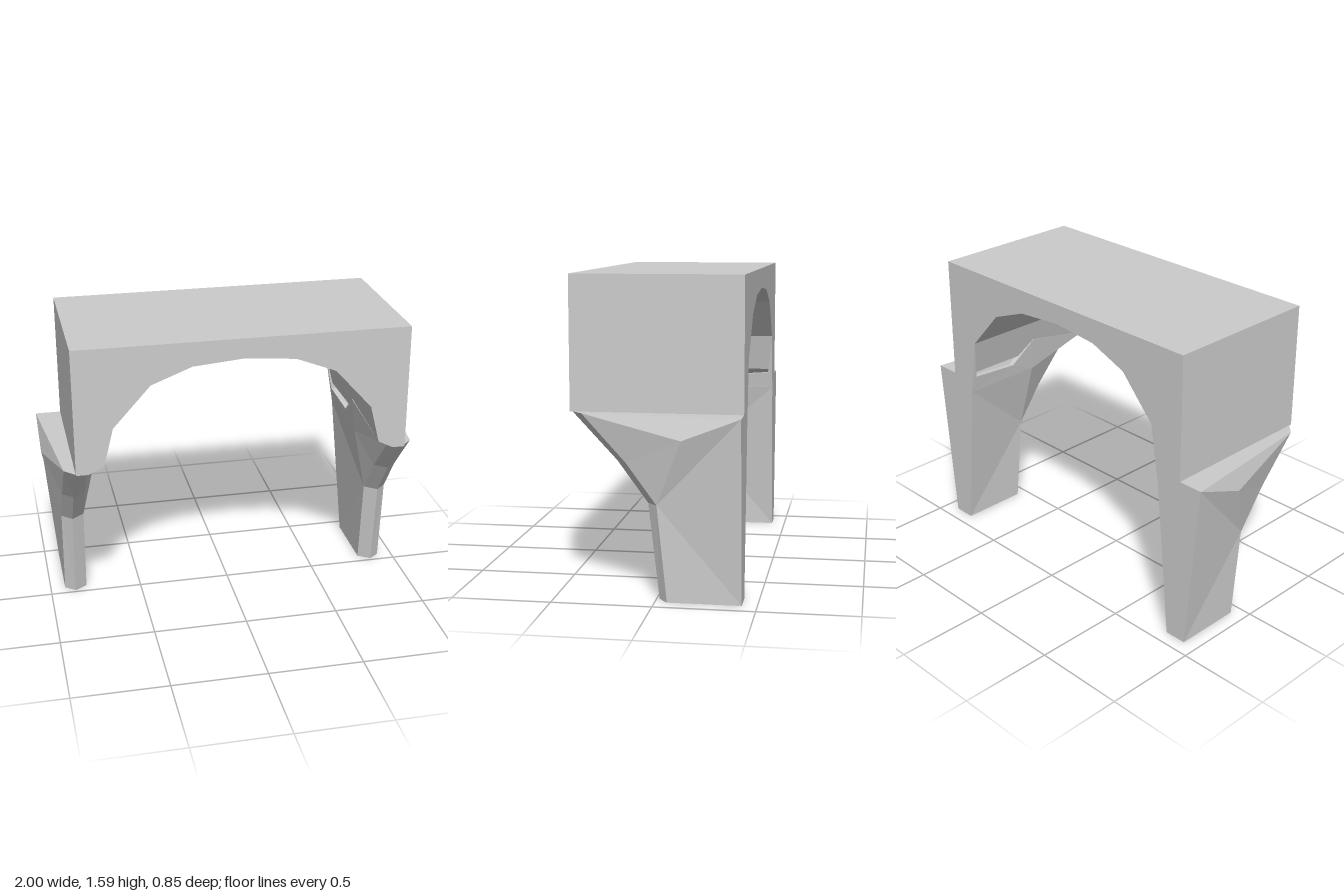
import * as THREE from 'three';

const BACK = -0.425, FRONT = 0.425;
const material = new THREE.MeshStandardMaterial({ color: 0xcccccc, flatShading: true, side: THREE.DoubleSide });

// Builds flat polygons (fans of corners); side -1 mirrors them in x and keeps them facing outward.
function polygons(name, faces, side) {
  const pos = [];
  for (const face of faces) {
    for (let i = 1; i < face.length - 1; i++) {
      const tri = [face[0], face[i], face[i + 1]];
      if (side < 0) tri.reverse();
      for (const [x, y, z] of tri) pos.push(x * side, y, z);
    }
  }
  const geo = new THREE.BufferGeometry();
  geo.setAttribute('position', new THREE.Float32BufferAttribute(pos, 3));
  geo.computeVertexNormals();
  const mesh = new THREE.Mesh(geo, material);
  mesh.name = name;
  return mesh;
}

// Block with the faceted arch cut out of its underside
function archBlock() {
  const half = [[0.865, 1.585], [0.865, 0.92], [0.8, 0.92], [0.72, 0.96], [0.67, 1.16], [0.475, 1.375], [0.265, 1.457]];
  const outline = [...half, [0, 1.48], ...half.slice().reverse().map(([x, y]) => [-x, y])];
  const shape = new THREE.Shape(outline.map(([x, y]) => new THREE.Vector2(x, y)));
  const geo = new THREE.ExtrudeGeometry(shape, { depth: FRONT - BACK, bevelEnabled: false });
  geo.translate(0, 0, BACK);
  const mesh = new THREE.Mesh(geo, material);
  mesh.name = 'archBlock';
  return mesh;
}

// Hollow tapering leg, open at the foot
function leg(side) {
  const group = new THREE.Group();
  group.name = side > 0 ? 'leftLeg' : 'rightLeg';

  // Front edge from foot to top: [height, z of the ridge, z of the chamfer edges]
  const levels = [[0, -0.015, -0.06], [0.48, 0.04, -0.01], [0.685, 0.19, 0.14], [0.92, 0.41, 0.355]];
  const ridge = levels.map(([y, z]) => [0.865, y, z]);
  const outer = levels.map(([y, , z]) => [0.92, y, z]);
  const inner = levels.map(([y, , z]) => [0.8, y, z]);

  // Two chamfers along the front edge
  const chamfers = [];
  for (let i = 0; i < 3; i++) {
    chamfers.push([ridge[i], outer[i], outer[i + 1], ridge[i + 1]]);
    chamfers.push([inner[i], ridge[i], ridge[i + 1], inner[i + 1]]);
  }
  group.add(polygons('frontChamfers', chamfers, side));

  // Outer wall, faceted around a bulge point
  const footOut = [0.92, 0, BACK], topOut = [1, 0.92, BACK], bulge = [1, 0.81, -0.14];
  group.add(polygons('outerWall', [
    [footOut, topOut, outer[1]], [footOut, outer[1], outer[0]],
    [bulge, outer[1], topOut], [topOut, outer[3], bulge],
    [bulge, outer[3], outer[2]], [bulge, outer[2], outer[1]],
  ], side));

  // Inner wall with a stepped upper edge
  const footIn = [0.8, 0, BACK], kneeIn = [0.72, 0.85, BACK], springing = [0.67, 1.16, BACK];
  const dent = [0.72, 0.85, 0.02];
  const rim = [[0.72, 0.96, FRONT], [0.697, 1.04, 0.02], [0.71, 0.92, -0.13], [0.705, 0.94, -0.4]];
  group.add(polygons('innerWall', [
    [footIn, inner[1], kneeIn], [footIn, inner[0], inner[1]],
    [kneeIn, inner[1], dent], [dent, inner[1], inner[2]],
    [dent, inner[2], inner[3]], [dent, inner[3], rim[0]],
    [dent, rim[0], rim[1]], [dent, rim[1], rim[2]],
    [dent, rim[2], kneeIn], [rim[2], rim[3], kneeIn],
    [kneeIn, rim[3], springing],
  ], side));

  // Narrow ledge between the inner wall and the arch
  const ledge = [];
  for (let i = 0; i < 3; i++) {
    const [a, b] = [rim[i], rim[i + 1]];
    ledge.push([a, [a[0] + 0.03, a[1], a[2]], [b[0] + 0.03, b[1], b[2]], b]);
  }
  group.add(polygons('innerLedge', ledge, side));

  // Flat back and the shelf beside the block
  group.add(polygons('backWall', [
    [kneeIn, springing, [0.865, 0.92, BACK], topOut, footOut, footIn],
  ], side));
  group.add(polygons('shoulderShelf', [
    [[0.865, 0.92, BACK], ridge[3], outer[3], topOut],
  ], side));
  return group;
}

export function createModel() {
  const model = new THREE.Group();
  model.name = 'archway';
  model.add(archBlock(), leg(1), leg(-1));
  return model;
}
